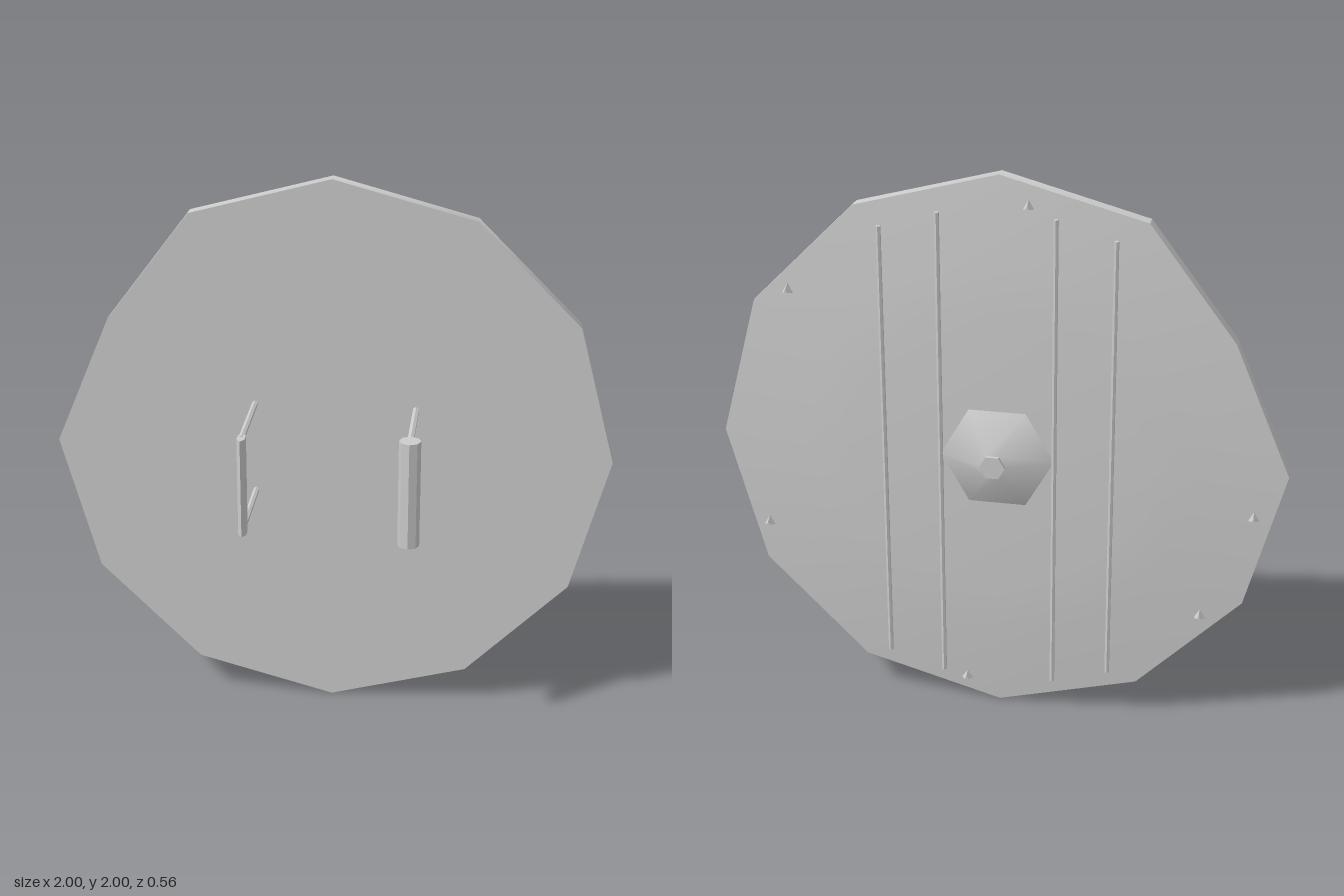
import * as THREE from 'three';
import { toCreasedNormals } from 'three/addons/utils/BufferGeometryUtils.js';

const material = new THREE.MeshStandardMaterial({ color: 0xcccccc });
const CENTRE_Y = 1;

function addMesh(parent, name, geometry, x, y, z) {
  const mesh = new THREE.Mesh(toCreasedNormals(geometry, 0.6), material);
  mesh.name = name;
  mesh.position.set(x, y, z);
  parent.add(mesh);
  return mesh;
}

// Twelve-sided outline with one dented corner
const outline = Array.from({ length: 12 }, (_, i) => {
  const a = (i * Math.PI) / 6;
  return i === 5 ? [-0.8, 0.47] : [Math.cos(a), Math.sin(a)];
});

// Closed surface between concentric copies of the outline, each [scale, z]
function ringSurface(rings) {
  const n = outline.length;
  const positions = [];
  const indices = [];
  for (const [scale, z] of rings) {
    for (const [x, y] of outline) positions.push(x * scale, y * scale, z);
  }
  for (let r = 0; r < rings.length - 1; r++) {
    for (let i = 0; i < n; i++) {
      const j = (i + 1) % n;
      const a = r * n + i, b = r * n + j, c = a + n, d = b + n;
      if (rings[r][0] > 0) indices.push(a, c, b);
      if (rings[r + 1][0] > 0) indices.push(b, c, d);
    }
  }
  const geometry = new THREE.BufferGeometry();
  geometry.setAttribute('position', new THREE.Float32BufferAttribute(positions, 3));
  geometry.setIndex(indices);
  geometry.computeVertexNormals();
  return geometry;
}

// Round bar along z between two depths
function zBar(parent, name, radius, x, y, z0, z1) {
  const geometry = new THREE.CylinderGeometry(radius, radius, z1 - z0, 6);
  geometry.rotateX(Math.PI / 2);
  addMesh(parent, name, geometry, x, y, (z0 + z1) / 2);
}

export function createModel() {
  const group = new THREE.Group();
  group.name = 'shield';

  // Disc: flat front, thin rim and a stepped, shallow dome behind
  addMesh(group, 'shieldDisc', ringSurface([
    [0, -0.1], [1, -0.1], [1, -0.15], [0.7, -0.178], [0.535, -0.187], [0, -0.19],
  ]), 0, CENTRE_Y, 0);

  // Hexagonal boss with a small knob
  const boss = new THREE.Group();
  boss.name = 'boss';
  group.add(boss);
  for (const [name, tip, base, z0, z1] of [
    ['bossCone', 0.045, 0.2, -0.192, -0.268],
    ['bossKnob', 0.045, 0.045, -0.264, -0.28],
  ]) {
    const geometry = new THREE.CylinderGeometry(tip, base, z0 - z1, 6);
    geometry.rotateY(Math.PI / 6).rotateX(-Math.PI / 2).rotateZ(Math.PI / 2);
    // Corners of the hexagon point to both sides
    geometry.rotateZ(Math.PI / 3);
    const p = geometry.attributes.position;
    const widest = Math.max(...Array.from({ length: p.count }, (_, i) => p.getX(i)));
    if (widest < base * 0.95) geometry.rotateZ(Math.PI / 6);
    addMesh(boss, name, geometry, 0, CENTRE_Y, (z0 + z1) / 2);
  }

  // Four upright rods across the back, leaning slightly
  for (const [x, half] of [[0.2, 0.875], [0.4, 0.815]]) {
    for (const side of [-1, 1]) {
      const rod = addMesh(group, 'backRod',
        new THREE.CylinderGeometry(0.009, 0.009, half * 2, 6), side * x, CENTRE_Y, -0.194);
      rod.rotation.x = -0.008;
    }
  }

  // Small three-sided studs near the rim
  const studs = [[0.74, 0.55], [-0.1, 0.9], [0.85, -0.35], [-0.89, -0.16], [-0.72, -0.56], [0.12, -0.91]];
  for (const [x, y] of studs) {
    const geometry = new THREE.CylinderGeometry(0.008, 0.026, 0.032, 3);
    geometry.rotateX(-Math.PI / 2);
    addMesh(group, 'rimStud', geometry, x, CENTRE_Y + y, -0.166);
  }

  // Hand grip: eight-sided handle on two struts
  const handGrip = new THREE.Group();
  handGrip.name = 'handGrip';
  group.add(handGrip);
  const handle = new THREE.CylinderGeometry(0.038, 0.038, 0.39, 8);
  addMesh(handGrip, 'gripHandle', handle, 0.302, 1.0, 0.238);

  // Arm strap: thin pointed plate on two struts
  const armStrap = new THREE.Group();
  armStrap.name = 'armStrap';
  group.add(armStrap);
  const plate = new THREE.CylinderGeometry(1, 1, 0.36, 6);
  plate.scale(0.016, 1, 0.037);
  addMesh(armStrap, 'strapPlate', plate, -0.275, 1.0, 0.235);

  for (const y of [0.835, 1.172]) {
    zBar(handGrip, 'gripStrut', 0.012, 0.3, y, -0.11, 0.23);
    zBar(armStrap, 'strapStrut', 0.011, -0.276, y, -0.11, 0.23);
  }
  return group;
}
